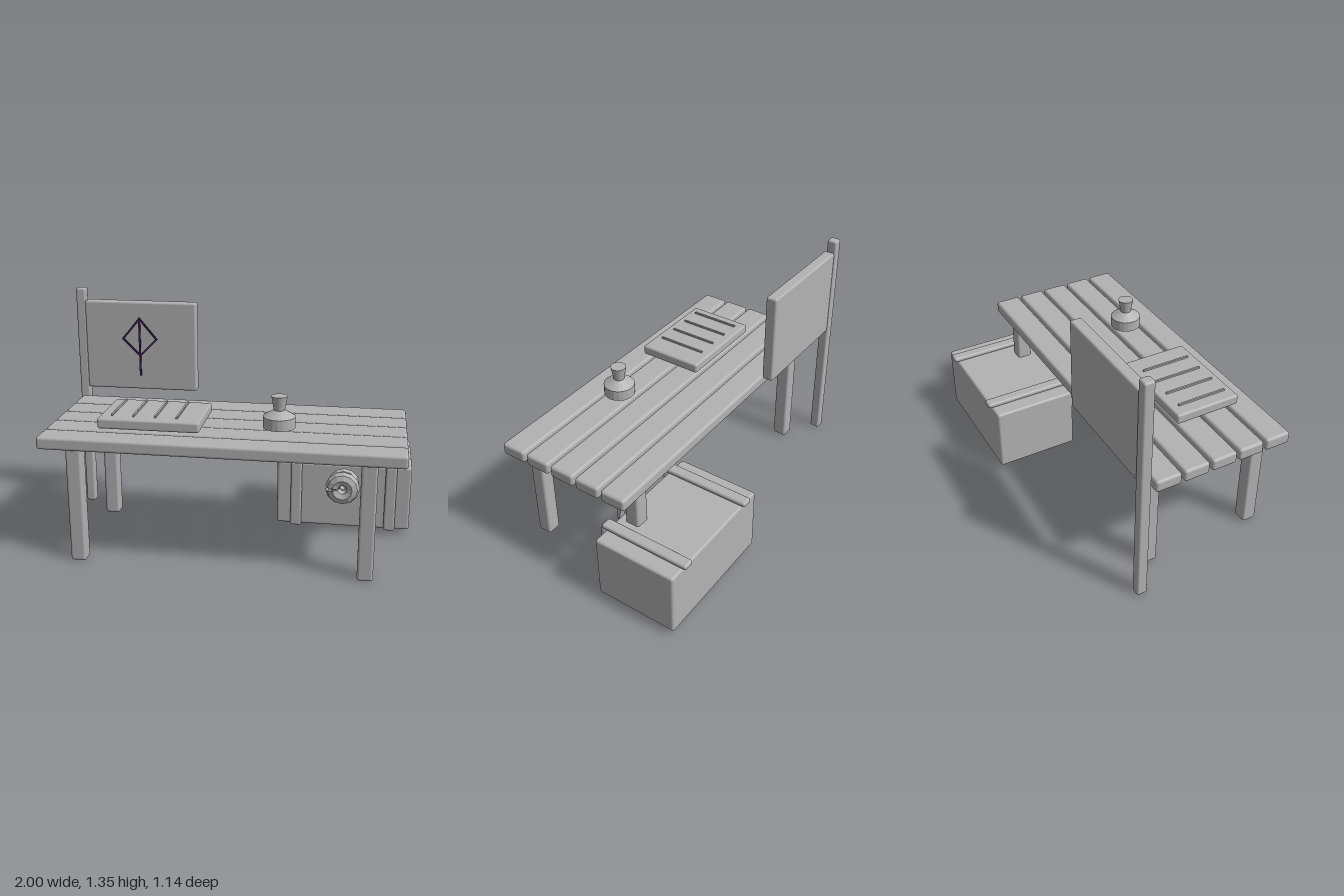
import * as THREE from 'three';
import { RoundedBoxGeometry } from 'three/addons/geometries/RoundedBoxGeometry.js';

export function createModel() {
  const model = new THREE.Group();
  model.name = 'marketTable';

  const grey = new THREE.MeshStandardMaterial({ color: 0xb2b2b2 });
  grey.name = 'plainGrey';
  const greyFaceted = new THREE.MeshStandardMaterial({ color: 0xb2b2b2, flatShading: true, side: THREE.DoubleSide });
  greyFaceted.name = 'facetedGrey';
  const purple = new THREE.MeshStandardMaterial({ color: 0x3a1a52 });
  purple.name = 'darkPurple';

  function add(name, geometry, material, x, y, z, parent = model) {
    const mesh = new THREE.Mesh(geometry, material);
    mesh.name = name;
    mesh.position.set(x, y, z);
    parent.add(mesh);
    return mesh;
  }

  // Softly bevelled block given by its extents on each axis
  function block(name, [x0, x1], [y0, y1], [z0, z1], radius = 0.014, parent = model) {
    const geometry = new RoundedBoxGeometry(x1 - x0, y1 - y0, z1 - z0, 2, radius);
    return add(name, geometry, grey, (x0 + x1) / 2, (y0 + y1) / 2, (z0 + z1) / 2, parent);
  }

  // Table top: five planks
  for (let i = 0; i < 5; i++) {
    const z = 0.497 - i * 0.163;
    block('plank' + (i + 1), [-0.97, 0.945], [0.64, 0.71], [z - 0.0735, z + 0.0735], 0.016);
  }

  // Four table legs
  for (const [side, x] of [['right', -0.7825], ['left', 0.7575]]) {
    for (const [end, z] of [['Front', 0.4985], ['Back', -0.1535]]) {
      block(side + end + 'Leg', [x - 0.042, x + 0.042], [0, 0.65], [z - 0.042, z + 0.042]);
    }
  }

  // Sign: post, board and a painted diamond ornament
  block('signPost', [-1, -0.943], [0, 1.345], [-0.335, -0.276], 0.012);
  block('signBoard', [-0.945, -0.28], [0.75, 1.275], [-0.331, -0.265], 0.012);
  const ornament = new THREE.Group();
  ornament.name = 'paintedOrnament';
  model.add(ornament);
  function stroke(x0, y0, x1, y1) {
    const length = Math.hypot(x1 - x0, y1 - y0);
    const mesh = add('paintedStroke', new THREE.BoxGeometry(length + 0.01, 0.011, 0.006), purple,
      (x0 + x1) / 2, (y0 + y1) / 2, -0.245, ornament);
    mesh.rotation.z = Math.atan2(y1 - y0, x1 - x0);
  }
  const cx = -0.613;
  for (const s of [-1, 1]) {
    stroke(cx, 1.18, cx + s * 0.1, 1.06);
    stroke(cx + s * 0.1, 1.06, cx, 0.96);
  }
  stroke(cx, 1.18, cx, 0.845);

  // Tablet with four raised ribs
  block('tablet', [-0.67, -0.125], [0.733, 0.79], [0.08, 0.455], 0.012);
  for (let i = 0; i < 4; i++) {
    add('tabletRib', new THREE.BoxGeometry(0.01, 0.01, 0.285), grey, -0.6 + i * 0.1165, 0.799, 0.267);
  }

  // Small pot with sloped shoulder and flared stopper
  const potProfile = [[0, 0.748], [0.086, 0.748], [0.086, 0.808], [0.03, 0.842], [0.043, 0.917], [0, 0.917]];
  add('pot', new THREE.LatheGeometry(potProfile.map(([r, y]) => new THREE.Vector2(r, y)), 20),
    greyFaceted, 0.277, 0, 0.318);

  // Chest with two straps over its lid and front
  const chest = new THREE.Group();
  chest.name = 'chest';
  model.add(chest);
  block('chestBody', [0.23, 0.995], [0.03, 0.41], [-0.55, -0.068], 0.014, chest);
  for (const x of [0.343, 0.881]) {
    block('lidStrap', [x - 0.032, x + 0.032], [0.411, 0.44], [-0.57, -0.045], 0.012, chest);
    block('frontStrap', [x - 0.032, x + 0.032], [0.03, 0.42], [-0.066, -0.037], 0.012, chest);
  }

  // Faceted clasp: an open ring in front of a closed one
  const openRing = add('claspRing', new THREE.TorusGeometry(0.056, 0.042, 8, 12, Math.PI * 2 - 0.2),
    greyFaceted, 0.61, 0.297, 0.006, chest);
  openRing.rotation.z = Math.PI + 0.1;
  add('claspBacking', new THREE.TorusGeometry(0.055, 0.032, 8, 12), greyFaceted, 0.615, 0.314, -0.034, chest);

  return model;
}
